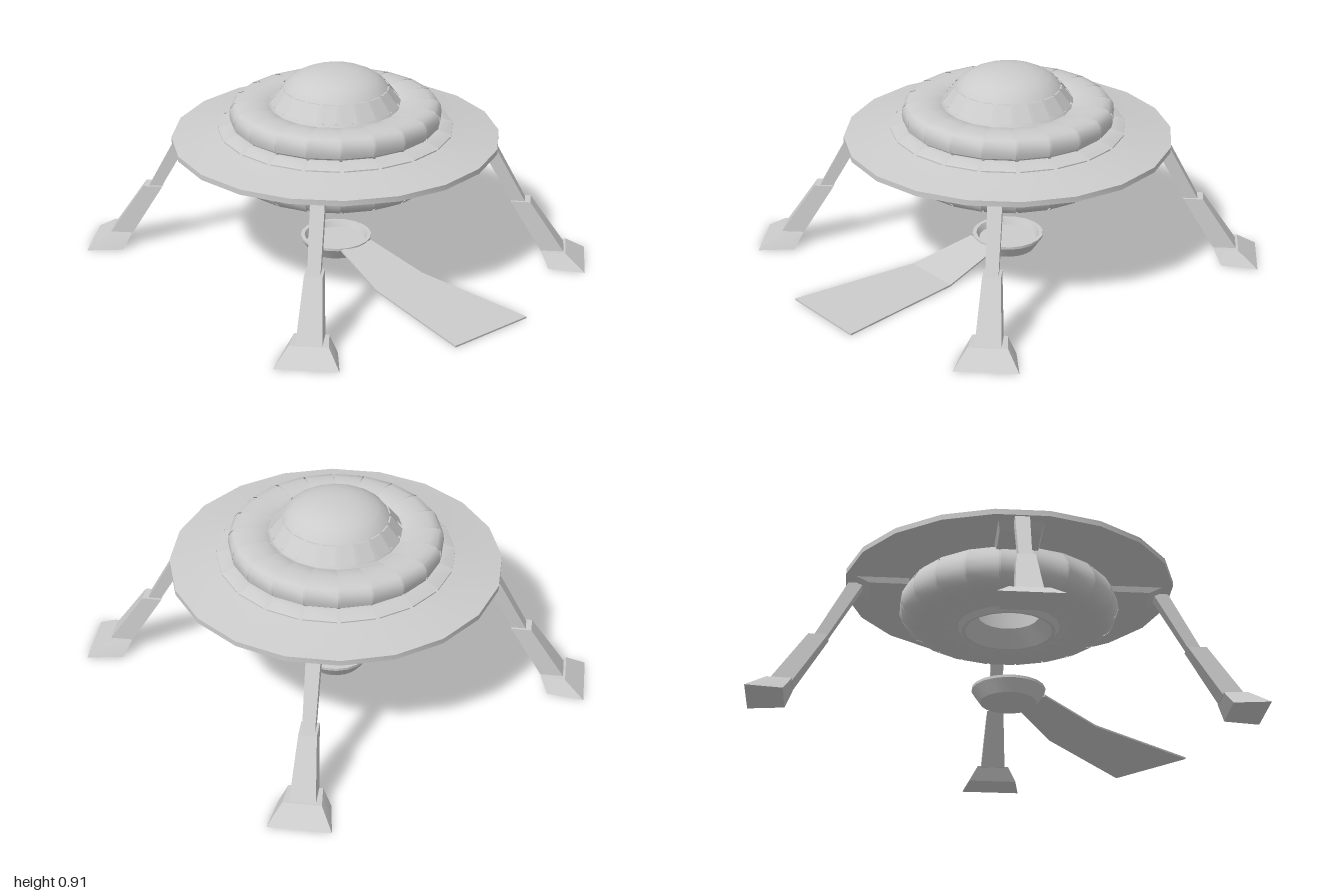
import * as THREE from 'three';
import { toCreasedNormals } from 'three/addons/utils/BufferGeometryUtils.js';

const SIDES = 20;
const STEP = (Math.PI * 2) / SIDES;
const material = new THREE.MeshStandardMaterial({ color: 0xcccccc, side: THREE.DoubleSide });

function mesh(name, geometry) {
  const m = new THREE.Mesh(geometry, material);
  m.name = name;
  return m;
}

const toPoints = (profile) => profile.map(([r, y]) => new THREE.Vector2(r, y));

// Surface of revolution; the profile runs from the underside outwards and up
function turned(name, profile, crease = 0.55) {
  return mesh(name, toCreasedNormals(new THREE.LatheGeometry(toPoints(profile), SIDES), crease));
}

// Ring of separate plates with narrow grooves between them
function plateRing(name, profile, gap) {
  const ring = new THREE.Group();
  ring.name = name;
  const geometry = new THREE.LatheGeometry(toPoints(profile), 1, gap / 2, STEP - gap);
  const creased = toCreasedNormals(geometry, 0.7);
  for (let i = 0; i < SIDES; i++) {
    const plate = mesh(name + 'Plate', creased);
    plate.rotation.y = i * STEP;
    ring.add(plate);
  }
  return ring;
}

// Six-sided block whose corners are placed by a rule of (side, top, outer), each -1 or 1
function block(name, rule) {
  const geometry = new THREE.BoxGeometry(2, 2, 2);
  const p = geometry.attributes.position;
  for (let i = 0; i < p.count; i++) p.setXYZ(i, ...rule(p.getX(i), p.getY(i), p.getZ(i)));
  geometry.computeVertexNormals();
  return mesh(name, geometry);
}

// Frustum with sections [y, inner radius, outer radius, inner half width, outer half width]
function frustum(name, bottom, top) {
  return block(name, (s, t, o) => {
    const [y, r0, r1, w0, w1] = t > 0 ? top : bottom;
    return [s * (o > 0 ? w1 : w0), y, o > 0 ? r1 : r0];
  });
}

function makeSaucer() {
  const saucer = new THREE.Group();
  saucer.name = 'saucer';

  // Broad rim disc
  saucer.add(turned('rimDisc', [
    [0.40, 0.565], [0.755, 0.565], [0.755, 0.59], [0.56, 0.622], [0.46, 0.645], [0.30, 0.645],
  ], 0.35));

  // Plates lying on the slope around the upper hull
  saucer.add(plateRing('skirt', [
    [0.54, 0.618], [0.54, 0.632], [0.49, 0.652], [0.46, 0.652],
  ], 0.03));

  // Rounded upper hull with its plating
  saucer.add(turned('upperHull', [
    [0.45, 0.63], [0.474, 0.66], [0.475, 0.71], [0.455, 0.738], [0.40, 0.747], [0.34, 0.744], [0.28, 0.73],
  ], 0.9));
  saucer.add(plateRing('upperHullPlating', [
    [0.465, 0.652], [0.482, 0.664], [0.487, 0.69], [0.483, 0.722], [0.465, 0.745],
    [0.43, 0.754], [0.38, 0.756], [0.33, 0.75], [0.305, 0.738],
  ], 0.018));

  // Sloping window band and dome
  saucer.add(turned('windowFrame', [[0.295, 0.735], [0.285, 0.75], [0.228, 0.826]]));
  saucer.add(plateRing('windows', [
    [0.286, 0.748], [0.298, 0.753], [0.245, 0.822], [0.23, 0.82],
  ], 0.07));
  saucer.add(turned('dome', [
    [0.215, 0.82], [0.24, 0.823], [0.222, 0.846], [0.19, 0.868], [0.15, 0.887], [0.10, 0.901], [0.05, 0.907], [0, 0.908],
  ], 0.9));

  // Rounded lower hull, hatch lip and tapering hatch well
  saucer.add(turned('lowerHull', [
    [0.14, 0.44], [0.20, 0.362], [0.215, 0.36], [0.235, 0.382], [0.38, 0.382], [0.445, 0.394],
    [0.48, 0.422], [0.494, 0.46], [0.488, 0.51], [0.455, 0.568],
  ], 0.6));
  saucer.add(plateRing('lowerHullPlating', [
    [0.25, 0.38], [0.26, 0.374], [0.38, 0.375], [0.43, 0.382], [0.465, 0.398], [0.49, 0.424],
    [0.503, 0.46], [0.497, 0.505], [0.472, 0.55], [0.455, 0.556],
  ], 0.018));

  // Inner cabin seen through the open hatch
  saucer.add(turned('cabin', [[0, 0.72], [0.27, 0.72], [0.27, 0.44], [0.14, 0.44]]));
  return saucer;
}

function makeLeg() {
  const leg = new THREE.Group();
  leg.name = 'landingLeg';
  leg.add(
    frustum('legMount', [0.54, 0.46, 0.64, 0.09, 0.09], [0.566, 0.46, 0.70, 0.10, 0.10]),
    frustum('upperStrut', [0.28, 0.83, 0.89, 0.028, 0.028], [0.566, 0.665, 0.735, 0.032, 0.032]),
    frustum('lowerStrut', [0.06, 0.965, 1.07, 0.058, 0.058], [0.30, 0.815, 0.905, 0.04, 0.04]),
    frustum('foot', [0, 1.0, 1.167, 0.115, 0.14], [0.065, 0.965, 1.077, 0.075, 0.085]),
  );
  return leg;
}

function makeRamp() {
  const ramp = new THREE.Group();
  ramp.name = 'boardingRamp';
  // Stations along the ramp: [z, half width, height of the underside]
  const stations = [[0.08, 0.09, 0.066], [0.39, 0.138, 0], [1.0, 0.21, 0]];
  for (let i = 0; i < 2; i++) {
    ramp.add(block('rampSection', (s, t, o) => {
      const [z, w, y] = stations[o > 0 ? i + 1 : i];
      return [s * w, y + (t > 0 ? 0.008 : 0), z];
    }));
  }
  return ramp;
}

export function createModel() {
  const model = new THREE.Group();
  model.name = 'flyingSaucer';

  // Everything but the ramp is centred slightly behind the origin
  const craft = new THREE.Group();
  craft.name = 'craft';
  craft.position.z = -0.07;
  craft.add(makeSaucer());
  for (let i = 0; i < 4; i++) {
    const leg = makeLeg();
    leg.rotation.y = Math.PI / 4 + (i * Math.PI) / 2;
    craft.add(leg);
  }

  // Lowered hatch plug with a shallow recessed top
  craft.add(turned('hatchPlug', [
    [0, 0.01], [0.128, 0.01], [0.166, 0.066], [0.166, 0.078], [0.148, 0.078], [0.135, 0.05], [0, 0.05],
  ]));

  model.add(craft, makeRamp());
  return model;
}
